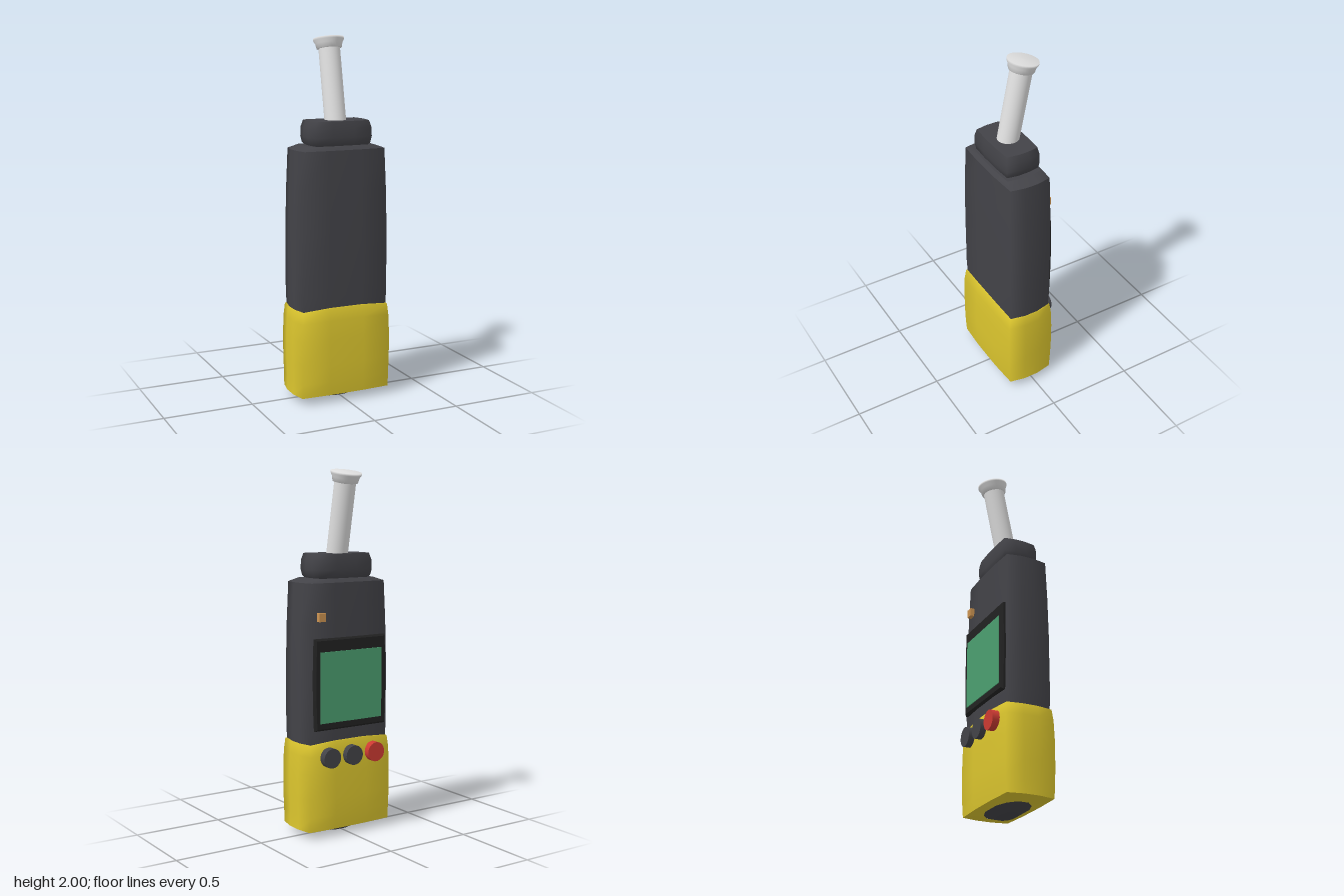
import * as THREE from 'three';

function material(name, color) {
  const m = new THREE.MeshStandardMaterial({ color });
  m.name = name;
  return m;
}

// Quarter of the soft-box cross-section, mirrored into a 12-point ring
const Q = [[1, 0.3], [0.935, 0.94], [0.36, 1]];
const RING = [
  ...Q,
  ...[...Q].reverse().map(([x, z]) => [-x, z]),
  ...Q.map(([x, z]) => [-x, -z]),
  ...[...Q].reverse().map(([x, z]) => [x, -z]),
];

// Loft through rings { y, w, d, round, droop } from the bottom up
function loft(rings, capBottom, capTop) {
  const pos = [], idx = [], n = RING.length;
  const addRing = ({ y, w, d, round, droop = 0 }) => {
    const start = pos.length / 3;
    for (const [x, z] of RING) {
      const k = round ? 1 / Math.hypot(x, z) : 1;
      pos.push(x * w * k, y - droop * Math.abs(x), z * d * k);
    }
    return start;
  };
  const starts = rings.map(addRing);
  for (let i = 0; i < rings.length - 1; i++) {
    for (let j = 0; j < n; j++) {
      const k = (j + 1) % n, a = starts[i], c = starts[i + 1];
      idx.push(a + j, c + j, a + k, a + k, c + j, c + k);
    }
  }
  // Caps have their own vertices so the rim stays sharp
  const cap = (ring, up) => {
    const s = addRing(ring), centre = pos.length / 3;
    pos.push(0, ring.y, 0);
    for (let j = 0; j < n; j++) {
      const k = (j + 1) % n;
      idx.push(centre, s + (up ? k : j), s + (up ? j : k));
    }
  };
  if (capBottom) cap(rings[0], false);
  if (capTop) cap(rings[rings.length - 1], true);
  const g = new THREE.BufferGeometry();
  g.setAttribute('position', new THREE.Float32BufferAttribute(pos, 3));
  g.setIndex(idx);
  g.computeVertexNormals();
  return g;
}

export function createModel() {
  const model = new THREE.Group();
  model.name = 'handheldTester';
  const dark = material('charcoal', 0x434348);
  const yellow = material('yellow', 0xdcc62e);
  const black = material('black', 0x222222);
  const green = material('screenGreen', 0x4c9f70);
  const red = material('red', 0xcc3a32);
  const amber = material('amber', 0xcc9452);
  const white = material('white', 0xe0e0e0);

  const add = (name, geometry, mat, x = 0, y = 0, z = 0) => {
    const mesh = new THREE.Mesh(geometry, mat);
    mesh.name = name;
    mesh.position.set(x, y, z);
    model.add(mesh);
    return mesh;
  };
  const midZ = 0.016;

  // Upper housing
  add('housing', loft([
    { y: 0.45, w: 0.262, d: 0.128 },
    { y: 0.6, w: 0.268, d: 0.133 },
    { y: 0.95, w: 0.267, d: 0.133 },
    { y: 1.18, w: 0.261, d: 0.131 },
    { y: 1.395, w: 0.252, d: 0.126 },
  ]), dark, 0, 0, midZ);
  add('housingTop', loft([
    { y: 1.395, w: 0.252, d: 0.126 },
    { y: 1.415, w: 0.19, d: 0.108 },
  ], false, true), dark, 0, 0, midZ);

  // Yellow grip, with a lip at the top and a sloping underside
  add('grip', loft([
    { y: 0.042, w: 0.28, d: 0.141 },
    { y: 0.12, w: 0.278, d: 0.148 },
    { y: 0.22, w: 0.281, d: 0.15 },
    { y: 0.36, w: 0.281, d: 0.15 },
    { y: 0.47, w: 0.277, d: 0.147, droop: 0.01 },
    { y: 0.54, w: 0.272, d: 0.138, droop: 0.02 },
    { y: 0.546, w: 0.258, d: 0.126, droop: 0.02 },
  ]), yellow, 0, 0, midZ);
  add('gripUnderside', loft([
    { y: 0.03, w: 0.19, d: 0.1, round: true },
    { y: 0.042, w: 0.28, d: 0.141 },
  ]), yellow, 0, 0, midZ);
  add('basePlug', loft([
    { y: 0, w: 0.09, d: 0.05, round: true },
    { y: 0.031, w: 0.191, d: 0.101, round: true },
  ], true), dark, 0, 0, midZ);

  // Collar under the mouthpiece
  add('collar', loft([
    { y: 1.405, w: 0.15, d: 0.085 },
    { y: 1.425, w: 0.172, d: 0.1 },
    { y: 1.46, w: 0.18, d: 0.105 },
    { y: 1.51, w: 0.178, d: 0.104 },
    { y: 1.547, w: 0.165, d: 0.097 },
  ], true, true), dark, 0, 0, midZ);

  // Tilted mouthpiece: tube and flared tip
  const mouthpiece = new THREE.Group();
  mouthpiece.name = 'mouthpiece';
  mouthpiece.position.set(0, 1.982, -0.081);
  mouthpiece.rotation.x = -0.2;
  const tube = new THREE.Mesh(new THREE.CylinderGeometry(0.059, 0.059, 0.44, 32, 1, true), white);
  tube.name = 'mouthpieceTube';
  tube.position.y = -0.265;
  const tipProfile = [[0.055, -0.058], [0.069, -0.055], [0.074, -0.03], [0.084, -0.012], [0.084, 0], [0, 0.002]]
    .map(([r, y]) => new THREE.Vector2(r, y));
  const tip = new THREE.Mesh(new THREE.LatheGeometry(tipProfile, 32), white);
  tip.name = 'mouthpieceTip';
  mouthpiece.add(tube, tip);
  model.add(mouthpiece);

  // Screen surround with slightly bowed sides, on the back
  const w = 0.22, h = 0.24;
  const outline = new THREE.Shape();
  outline.moveTo(-w, -h);
  outline.lineTo(w, -h);
  outline.quadraticCurveTo(w + 0.012, 0, w, h);
  outline.lineTo(-w, h);
  outline.quadraticCurveTo(-w - 0.012, 0, -w, -h);
  const surround = new THREE.ExtrudeGeometry(outline, {
    depth: 0.02, bevelThickness: 0.01, bevelSize: 0.01, bevelSegments: 1, curveSegments: 6,
  });
  add('screenSurround', surround, black, 0, 0.85, -0.121);
  add('screen', new THREE.BoxGeometry(0.4, 0.388, 0.006), green, 0, 0.835, -0.132);

  // Indicator light
  add('indicatorLight', new THREE.BoxGeometry(0.042, 0.046, 0.034), amber, 0.186, 1.215, -0.117);

  // Row of buttons
  const button = new THREE.CylinderGeometry(0.054, 0.054, 0.06, 28);
  button.rotateX(Math.PI / 2);
  [[-0.145, red], [0, dark], [0.144, dark]].forEach(([x, mat], i) => {
    add('button' + (i + 1), button, mat, x, 0.45, -0.136);
  });

  return model;
}
